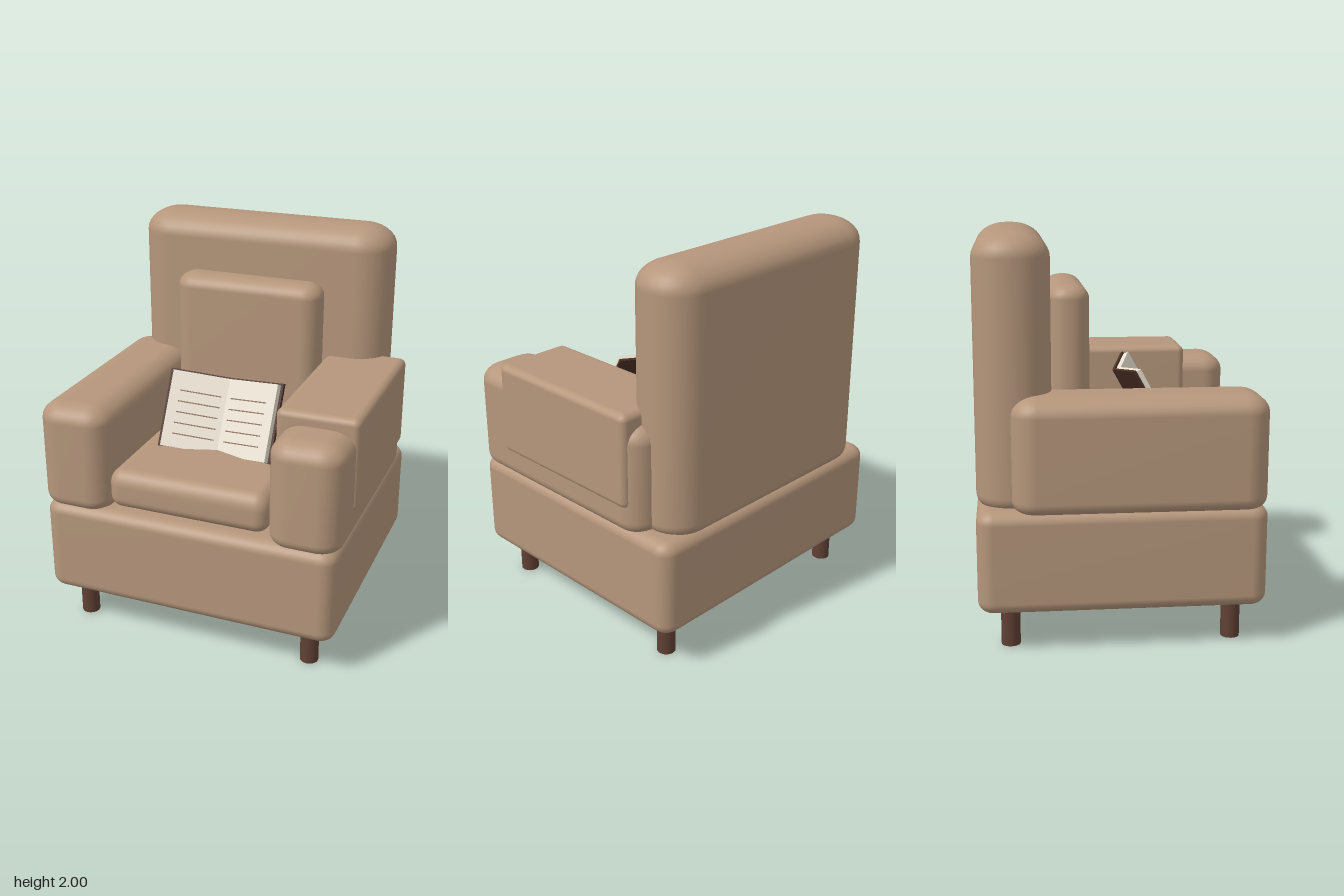
import * as THREE from 'three';

const mat = (name, color, side = THREE.FrontSide) => {
  const m = new THREE.MeshStandardMaterial({ color, side });
  m.name = name;
  return m;
};

// Upholstered block: rounded-rectangle loops stacked in y, drawn in at the top and bottom.
// corner = plan radius; top and bottom = [inset, height] of the edge rounding.
function cushionGeometry(w, h, d, corner, top, bottom) {
  const STEPS = 8, ARC = 8, levels = [];
  for (let i = 0; i <= STEPS; i++) {
    const a = (i / STEPS) * Math.PI / 2;
    levels.push([bottom[1] * (1 - Math.sin(a)), bottom[0] * (1 - Math.cos(a)), 0]);
  }
  levels.forEach(l => { l[0] = bottom[1] - (bottom[1] - l[0]); });
  const rings = [];
  for (let i = 0; i <= STEPS; i++) {
    const a = (i / STEPS) * Math.PI / 2;
    rings.push([bottom[1] * (1 - Math.cos(a)), bottom[0] * (1 - Math.sin(a))]);
  }
  for (let i = 0; i <= STEPS; i++) {
    const a = (i / STEPS) * Math.PI / 2;
    rings.push([h - top[1] * (1 - Math.sin(a)), top[0] * (1 - Math.cos(a))]);
  }
  const pos = [], idx = [], n = 4 * (ARC + 1);
  for (const [y, inset] of rings) {
    const c = Math.max(corner, inset + 0.004), r = c - inset;
    for (let q = 0; q < 4; q++) {
      const sx = q === 0 || q === 3 ? 1 : -1, sz = q < 2 ? 1 : -1;
      for (let k = 0; k <= ARC; k++) {
        const a = (q + k / ARC) * Math.PI / 2;
        pos.push(sx * (w / 2 - c) + r * Math.cos(a), y, sz * (d / 2 - c) + r * Math.sin(a));
      }
    }
  }
  const last = rings.length - 1, low = rings.length * n, high = low + 1;
  pos.push(0, 0, 0, 0, h, 0);
  for (let i = 0; i < n; i++) {
    const j = (i + 1) % n;
    for (let l = 0; l < last; l++) {
      const p = l * n, u = p + n;
      idx.push(p + i, u + i, p + j, p + j, u + i, u + j);
    }
    idx.push(low, i, j, high, last * n + j, last * n + i);
  }
  const g = new THREE.BufferGeometry();
  g.setAttribute('position', new THREE.Float32BufferAttribute(pos, 3));
  g.setIndex(idx);
  g.computeVertexNormals();
  return g;
}

export function createModel() {
  const model = new THREE.Group();
  model.name = 'armchair';
  const fabric = mat('tan fabric', 0xb5967b);
  const wood = mat('dark wood', 0x5f4034);
  const leather = mat('book cover brown', 0x4a2e24);
  const paper = mat('cream paper', 0xeee6d6);
  const ink = mat('faded ink', 0x8a6f5c);

  const add = (parent, name, geometry, material, x, y, z) => {
    const m = new THREE.Mesh(geometry, material);
    m.name = name;
    m.position.set(x, y, z);
    parent.add(m);
    return m;
  };
  // Upholstery given by its [min, max] extents
  const cushion = (name, [x0, x1], [y0, y1], [z0, z1], corner, top, bottom) =>
    add(model, name, cushionGeometry(x1 - x0, y1 - y0, z1 - z0, corner, top, bottom),
      fabric, (x0 + x1) / 2, y0, (z0 + z1) / 2);

  cushion('base', [-0.79, 0.77], [0.2, 0.705], [-0.7, 0.7], 0.08, [0.07, 0.06], [0.06, 0.06]);
  cushion('backrest', [-0.71, 0.69], [0.69, 2], [-0.7, -0.33], 0.175, [0.17, 0.12], [0.05, 0.06]);
  cushion('rightArm', [-0.81, -0.43], [0.69, 1.245], [-0.53, 0.7], 0.12, [0.12, 0.09], [0.05, 0.06]);
  cushion('leftArm', [0.41, 0.785], [0.69, 1.245], [-0.53, 0.7], 0.12, [0.12, 0.09], [0.05, 0.06]);
  cushion('seatCushion', [-0.435, 0.415], [0.725, 0.93], [-0.36, 0.67], 0.07, [0.07, 0.08], [0.06, 0.06]);
  cushion('backPillow', [-0.41, 0.39], [0.93, 1.73], [-0.335, -0.13], 0.095, [0.09, 0.07], [0.08, 0.07]);
  cushion('armCover', [0.38, 0.8], [0.83, 1.31], [-0.46, 0.46], 0.035, [0.04, 0.035], [0.03, 0.03]);

  // Four round legs
  const leg = new THREE.CylinderGeometry(0.047, 0.047, 0.22, 24);
  for (const x of [-0.635, 0.615])
    for (const z of [-0.545, 0.545]) add(model, 'leg', leg, wood, x, 0.11, z);

  // Open book leaning back on the seat, two mirrored halves hinged at the spine
  const book = new THREE.Group();
  book.name = 'openBook';
  book.position.set(-0.01, 0.877, 0.216);
  book.rotation.x = -0.5;
  model.add(book);
  for (const s of [-1, 1]) {
    const half = new THREE.Group();
    half.name = s > 0 ? 'leftBookHalf' : 'rightBookHalf';
    half.rotation.y = -s * 0.27;
    book.add(half);
    add(half, 'bookCover', new THREE.BoxGeometry(0.327, 0.42, 0.015), leather, s * 0.1635, 0.21, 0.0075);
    add(half, 'pages', new THREE.BoxGeometry(0.312, 0.4, 0.03), paper, s * 0.156, 0.21, 0.03);
    for (let i = 0; i < 5; i++)
      add(half, 'textLine', new THREE.BoxGeometry(0.22, 0.006, 0.003), ink, s * 0.15, 0.309 - i * 0.057, 0.046);
  }
  return model;
}
